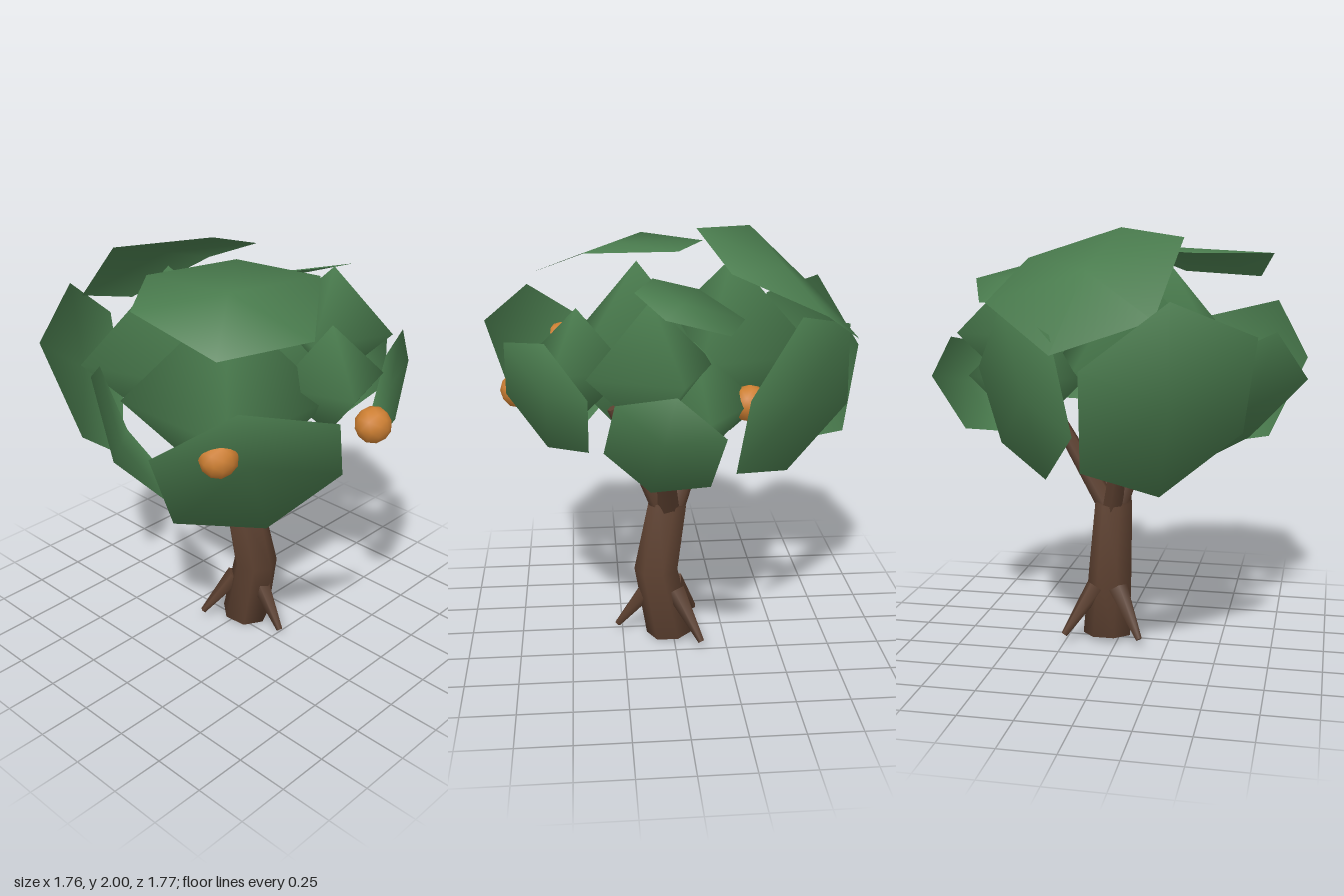
import * as THREE from 'three';
import { mergeVertices } from 'three/addons/utils/BufferGeometryUtils.js';

const V = (a) => new THREE.Vector3(...a);

export function createModel() {
  const tree = new THREE.Group();
  tree.name = 'orangeTree';
  const bark = new THREE.MeshStandardMaterial({ color: 0x5c4030 });
  bark.name = 'bark';
  const leaf = new THREE.MeshStandardMaterial({ color: 0x4a7c4e, side: THREE.DoubleSide });
  leaf.name = 'leaf';
  const orange = new THREE.MeshStandardMaterial({ color: 0xcd7f32 });
  orange.name = 'orange';

  function add(name, geometry, material) {
    const mesh = new THREE.Mesh(geometry, material);
    mesh.name = name;
    tree.add(mesh);
    return mesh;
  }

  // Tapered limb from one point to another
  function limb(name, from, to, r0, r1, sides) {
    const a = V(from), b = V(to), dir = b.clone().sub(a);
    const mesh = add(name, new THREE.CylinderGeometry(r1, r0, dir.length(), sides), bark);
    mesh.position.copy(a).add(b).multiplyScalar(0.5);
    mesh.quaternion.setFromUnitVectors(new THREE.Vector3(0, 1, 0), dir.normalize());
  }

  // Smooth-shaded faceted lump, turned in degrees from +x toward +z
  function lump(name, raw, center, material, turn) {
    raw.deleteAttribute('uv');
    raw.deleteAttribute('normal');
    const geometry = mergeVertices(raw, 1e-4);
    geometry.computeVertexNormals();
    const mesh = add(name, geometry, material);
    mesh.position.set(...center);
    mesh.rotation.y = -THREE.MathUtils.degToRad(turn);
  }

  // Hexagonal leaf card, creased from a to b; t and w are the midpoints of its two outer edges
  function card(a, b, t, w) {
    const A = V(a), B = V(b), mid = A.clone().lerp(B, 0.5);
    const normal = B.clone().sub(A).cross(V(w).sub(V(t))).normalize();
    // keep the face turned away from the crown's middle
    if (normal.dot(mid.clone().sub(new THREE.Vector3(0, 1.3, 0))) < 0) {
      [t, w] = [w, t];
      normal.negate();
    }
    const corner = (s, edge) => A.clone().lerp(B, s).add(V(edge)).sub(mid);
    const pts = [mid, A, corner(0.25, t), corner(0.75, t), B, corner(0.75, w), corner(0.25, w)];
    const index = [];
    for (let i = 0; i < 6; i++) index.push(0, 1 + i, 1 + ((i + 1) % 6));
    // rim normals lean outward for a soft, pillowy look
    const normals = pts.flatMap((p) =>
      p.clone().sub(mid).normalize().multiplyScalar(0.7).add(normal).normalize().toArray());
    const geometry = new THREE.BufferGeometry().setFromPoints(pts);
    geometry.setAttribute('normal', new THREE.Float32BufferAttribute(normals, 3));
    geometry.setIndex(index);
    add('leafCard', geometry, leaf);
  }

  // Bent trunk: a loop of tilted rings [x, y, z, radius, tilt], closed at both ends
  const rings = [
    [0.06, 0.02, 0.01, 0.12, 0.12], [0.055, 0.36, 0.08, 0.109, 0.0], [0.027, 0.697, 0.02, 0.093, -0.14],
  ];
  const sides = 7, pos = [], index = [];
  for (const [x, y, z, r, tilt] of rings) {
    for (let i = 0; i < sides; i++) {
      const t = (i / sides) * Math.PI * 2, dz = Math.cos(t) * r;
      pos.push(x + Math.sin(t) * r, y - dz * tilt, z + dz);
    }
  }
  for (let k = 0; k < rings.length - 1; k++) {
    for (let i = 0; i < sides; i++) {
      const a = k * sides + i, b = k * sides + ((i + 1) % sides);
      index.push(a, b, a + sides, b, b + sides, a + sides);
    }
  }
  const top = (rings.length - 1) * sides;
  for (let i = 1; i < sides - 1; i++) index.push(0, i + 1, i, top, top + i, top + i + 1);
  const trunk = new THREE.BufferGeometry();
  trunk.setAttribute('position', new THREE.Float32BufferAttribute(pos, 3));
  trunk.setIndex(index);
  trunk.computeVertexNormals();
  add('trunk', trunk, bark);

  // Roots
  for (const [x, z] of [[0.03, 0.275], [0.25, -0.125], [-0.12, -0.12]]) {
    limb('root', [0.06 + (x - 0.06) * 0.3, 0.26, 0.04 + (z - 0.04) * 0.3], [x, 0.045, z], 0.05, 0.016, 5);
  }

  // Branches
  for (const [from, to] of [
    [[0.06, 0.67, 0.02], [0.40, 1.22, 0.08]], [[0.04, 0.67, 0.05], [0.08, 1.2, 0.28]],
    [[0.01, 0.67, 0.02], [-0.16, 1.18, 0.1]], [[0.03, 0.67, -0.01], [-0.06, 1.13, -0.19]],
  ]) limb('branch', from, to, 0.052, 0.03, 6);

  // Inner foliage masses: centre, radius, turn
  [
    [[-0.135, 1.43, -0.3], 0.43, 27], [[-0.22, 1.36, 0.15], 0.47, 45],
    [[0.53, 1.5, 0.13], 0.3, -23], [[0.43, 1.31, -0.06], 0.285, -8],
    [[0.15, 1.43, 0.44], 0.26, 27],
  ].forEach(([c, r, turn]) => lump('foliageMass', new THREE.OctahedronGeometry(r), c, leaf, turn));

  // Outer leaf cards: top
  card([-0.36, 1.97, -0.41], [0.45, 1.70, -0.63], [0.17, 1.94, -0.17], [-0.085, 1.58, -0.805]);
  card([-0.71, 1.89, 0.10], [0.09, 1.92, 0.41], [-0.17, 1.905, -0.105], [-0.425, 1.77, 0.575]);
  card([0.725, 1.76, 0.085], [0.22, 1.78, -0.10], [0.37, 1.83, 0.15], [0.495, 1.67, -0.24]);
  // front
  card([-0.87, 1.38, 0.36], [-0.13, 1.175, 0.75], [-0.52, 1.58, 0.79], [-0.51, 0.94, 0.40]);
  card([0.61, 1.40, 0.40], [0.21, 1.32, 0.76], [0.385, 1.595, 0.665], [0.42, 1.12, 0.49]);
  // sides and back
  card([0.88, 1.31, -0.15], [0.70, 1.20, 0.34], [0.805, 1.45, 0.17], [0.69, 1.025, 0.02]);
  card([0.60, 1.38, -0.285], [0.03, 1.18, -0.84], [0.27, 1.64, -0.67], [0.37, 0.97, -0.38]);
  card([-0.69, 1.57, -0.56], [0.0, 1.03, -0.83], [-0.18, 1.59, -0.82], [-0.45, 1.0, -0.45]);
  card([-0.88, 1.30, 0.155], [-0.38, 1.10, -0.35], [-0.62, 1.50, -0.26], [-0.48, 0.95, 0.08]);

  // Fruit
  for (const c of [[-0.64, 1.36, 0.52], [0.12, 1.31, 0.71], [0.41, 1.31, -0.31]]) {
    lump('fruit', new THREE.IcosahedronGeometry(0.083, 1), c, orange, 0);
  }
  return tree;
}
